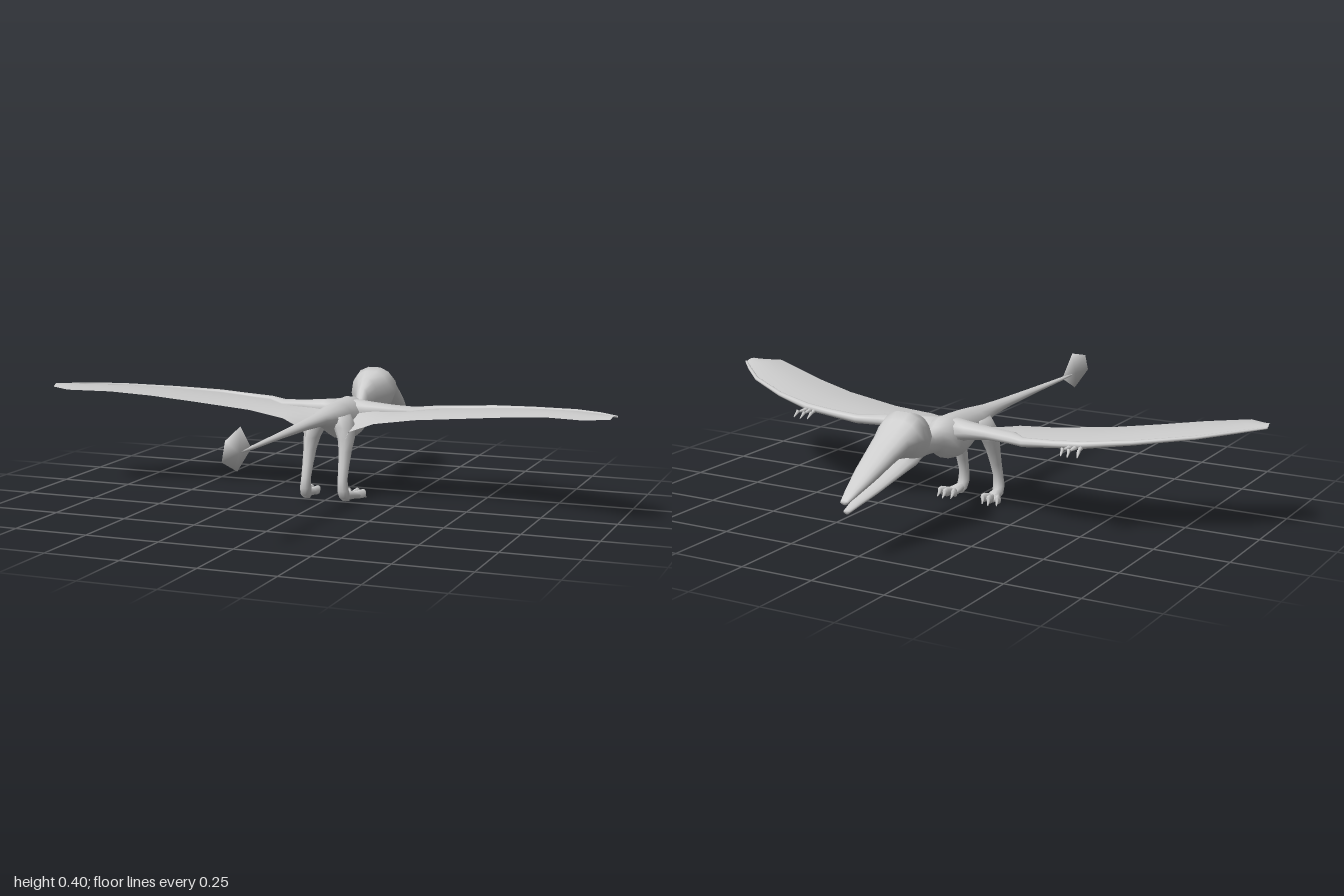
import * as THREE from 'three';

const skin = new THREE.MeshStandardMaterial({ color: 0xcccccc });
skin.name = 'grey skin';
const membraneSkin = new THREE.MeshStandardMaterial({ color: 0xcccccc, side: THREE.DoubleSide });
membraneSkin.name = 'grey membrane';

const V = (x, y, z) => new THREE.Vector3(x, y, z);

function geometryFrom(positions, index) {
  const g = new THREE.BufferGeometry();
  g.setAttribute('position', new THREE.Float32BufferAttribute(positions, 3));
  g.setIndex(index);
  g.computeVertexNormals();
  return g;
}

function addMesh(parent, name, geometry, material = skin) {
  const mesh = new THREE.Mesh(geometry, material);
  mesh.name = name;
  parent.add(mesh);
  return mesh;
}

// Oval rings [x, y, z, half width, half height] across a fixed axis, joined and capped.
// s mirrors in x; taper narrows the lower half; power below 1 squares the ring.
function loft(stations, axis, up, { s = 1, sides = 14, taper = 0, power = 1 } = {}) {
  const t = V(axis.x * s, axis.y, axis.z);
  const side = up.clone().cross(t).normalize();
  const pos = [], index = [];
  const bend = (v) => Math.sign(v) * Math.abs(v) ** power;
  for (const [x, y, z, rx, ry] of stations) {
    for (let j = 0; j < sides; j++) {
      const a = (j / sides) * Math.PI * 2;
      const w = bend(Math.cos(a)) * rx * (1 + taper * Math.min(0, Math.sin(a)));
      const p = V(x * s, y, z).addScaledVector(side, w).addScaledVector(up, bend(Math.sin(a)) * ry);
      pos.push(p.x, p.y, p.z);
    }
  }
  const n = stations.length;
  for (const k of [0, n - 1]) pos.push(stations[k][0] * s, stations[k][1], stations[k][2]);
  for (let j = 0; j < sides; j++) {
    const k = (j + 1) % sides, end = (n - 1) * sides;
    for (let i = 0; i < n - 1; i++) {
      const a = i * sides + j, b = i * sides + k;
      index.push(a, b, b + sides, a, b + sides, a + sides);
    }
    index.push(n * sides, k, j, n * sides + 1, end + j, end + k);
  }
  return geometryFrom(pos, index);
}

// Rings given by z, bottom, top and half width, for parts on the centre line
const spine = (rows) => rows.map(([z, low, high, w]) => [0, (low + high) / 2, z, w, (high - low) / 2]);

// Small tapering digit between two points
function digit(a, b, r, s) {
  const from = V(a[0] * s, a[1], a[2]), to = V(b[0] * s, b[1], b[2]);
  const g = new THREE.CylinderGeometry(r * 0.25, r, from.distanceTo(to), 6);
  g.applyQuaternion(new THREE.Quaternion().setFromUnitVectors(V(0, 1, 0), to.clone().sub(from).normalize()));
  const mid = from.add(to).multiplyScalar(0.5);
  return g.translate(mid.x, mid.y, mid.z);
}

// Membrane ribs: leading point, trailing point
const ribs = [
  [[0.03, 0.285, -0.2], [0.06, 0.19, -0.01]],
  [[0.1, 0.288, -0.22], [0.085, 0.24, 0]],
  [[0.2, 0.285, -0.225], [0.165, 0.268, -0.027]],
  [[0.31, 0.29, -0.285], [0.3, 0.285, -0.053]],
  [[0.51, 0.305, -0.278], [0.5, 0.306, -0.03]],
  [[0.66, 0.32, -0.226], [0.65, 0.325, 0.01]],
  [[0.83, 0.336, -0.13], [0.78, 0.34, 0.063]],
  [[0.93, 0.345, -0.035], [0.91, 0.348, 0.128]],
  [[0.998, 0.35, 0.037], [0.987, 0.35, 0.092]],
];

function membrane(s) {
  const rows = 6, pos = [], index = [];
  for (const [lead, trail] of ribs) {
    for (let j = 0; j <= rows; j++) {
      const u = j / rows, arch = 0.008 * Math.sin(Math.PI * u);
      const p = V(...lead).lerp(V(...trail), u);
      pos.push(p.x * s, p.y + arch, p.z);
    }
  }
  for (let i = 0; i < ribs.length - 1; i++) {
    for (let j = 0; j < rows; j++) {
      const a = i * (rows + 1) + j, b = a + rows + 1;
      // upper side faces up on both wings
      if (s > 0) index.push(a, a + 1, b + 1, a, b + 1, b);
      else index.push(a, b + 1, a + 1, a, b, b + 1);
    }
  }
  return geometryFrom(pos, index);
}

function wing(s) {
  const g = new THREE.Group();
  g.name = s > 0 ? 'leftWing' : 'rightWing';
  addMesh(g, 'wingMembrane', membrane(s), membraneSkin);
  // upper arm, forearm and the long wing finger
  const arm = [
    [0.02, 0.275, -0.215, 0.05, 0.045], [0.08, 0.283, -0.218, 0.042, 0.03],
    [0.16, 0.285, -0.222, 0.037, 0.02], [0.24, 0.283, -0.228, 0.038, 0.018],
    [0.31, 0.288, -0.277, 0.018, 0.015], [0.42, 0.297, -0.279, 0.014, 0.012],
    [0.51, 0.304, -0.273, 0.014, 0.012], [0.66, 0.319, -0.222, 0.011, 0.008],
    [0.83, 0.336, -0.127, 0.01, 0.006], [0.93, 0.346, -0.035, 0.009, 0.005],
    [0.997, 0.351, 0.034, 0.006, 0.003],
  ];
  addMesh(g, 'arm', loft(arm, V(1, 0, 0), V(0, 1, 0), { s, sides: 10 }));
  // three clawed fingers on the leading edge
  for (const [x, tip, z] of [[0.48, 0.467, -0.32], [0.495, 0.492, -0.325], [0.51, 0.522, -0.318]]) {
    addMesh(g, 'finger', digit([x, 0.297, -0.275], [tip, 0.293, z], 0.009, s));
    addMesh(g, 'fingerClaw', digit([tip, 0.297, z + 0.004], [tip + 0.004, 0.279, z - 0.016], 0.007, s));
  }
  return g;
}

function leg(s) {
  const g = new THREE.Group();
  g.name = s > 0 ? 'leftLeg' : 'rightLeg';
  const limb = [
    [0.035, 0.285, -0.06, 0.03, 0.05], [0.05, 0.25, -0.055, 0.035, 0.05],
    [0.062, 0.21, -0.04, 0.028, 0.038], [0.064, 0.17, -0.025, 0.022, 0.028],
    [0.065, 0.12, -0.008, 0.019, 0.021], [0.066, 0.075, 0.006, 0.017, 0.018],
    [0.068, 0.04, 0.006, 0.02, 0.02], [0.07, 0.015, -0.005, 0.019, 0.02],
    [0.071, 0.002, -0.015, 0.012, 0.012],
  ];
  addMesh(g, 'shin', loft(limb, V(0, -1, 0), V(0, 0, 1), { s, sides: 10 }));
  const foot = [[0.07, 0.022, 0.008, 0.014, 0.017], [0.073, 0.018, -0.03, 0.02, 0.016],
    [0.08, 0.014, -0.06, 0.028, 0.013], [0.082, 0.012, -0.072, 0.02, 0.008]];
  addMesh(g, 'foot', loft(foot, V(0, 0, -1), V(0, 1, 0), { s, sides: 10 }));
  for (const [x, z] of [[0.057, -0.08], [0.084, -0.09], [0.11, -0.078]]) {
    const toe = [[0.078, 0.014, -0.045, 0.01, 0.012], [x, 0.018, z + 0.005, 0.011, 0.016],
      [x, 0.021, z - 0.006, 0.008, 0.011]];
    addMesh(g, 'toe', loft(toe, V(0, 0, -1), V(0, 1, 0), { s, sides: 8 }));
    addMesh(g, 'toeClaw', digit([x, 0.02, z - 0.002], [x + 0.004, 0.001, z - 0.016], 0.008, s));
  }
  return g;
}

export function createModel() {
  const model = new THREE.Group();
  model.name = 'flyingReptile';
  const forward = V(0, 0, -1), up = V(0, 1, 0);

  // tail, hips, chest and neck in one smooth skin
  addMesh(model, 'body', loft(spine([
    [0.7, 0.281, 0.287, 0.004], [0.6, 0.277, 0.289, 0.009], [0.4, 0.275, 0.294, 0.016],
    [0.2, 0.27, 0.3, 0.024], [0.06, 0.262, 0.306, 0.032], [0, 0.25, 0.311, 0.042],
    [-0.06, 0.225, 0.317, 0.055], [-0.12, 0.195, 0.322, 0.056], [-0.19, 0.178, 0.325, 0.066],
    [-0.24, 0.185, 0.325, 0.068], [-0.27, 0.2, 0.318, 0.05], [-0.295, 0.218, 0.303, 0.034],
    [-0.33, 0.223, 0.288, 0.026], [-0.38, 0.225, 0.31, 0.026],
  ]), forward, up));

  // skull and upper beak
  addMesh(model, 'head', loft(spine([
    [-0.335, 0.228, 0.29, 0.016], [-0.36, 0.224, 0.335, 0.024], [-0.4, 0.222, 0.366, 0.042],
    [-0.45, 0.221, 0.386, 0.073], [-0.49, 0.225, 0.397, 0.08], [-0.52, 0.25, 0.376, 0.077],
    [-0.56, 0.262, 0.349, 0.064], [-0.62, 0.245, 0.316, 0.054], [-0.7, 0.218, 0.271, 0.042],
    [-0.78, 0.194, 0.222, 0.025], [-0.822, 0.181, 0.195, 0.014],
  ]), forward, up, { taper: 0.25, power: 0.85 }));

  // lower beak, slightly open
  addMesh(model, 'lowerJaw', loft(spine([
    [-0.42, 0.224, 0.28, 0.035], [-0.49, 0.212, 0.272, 0.058], [-0.54, 0.205, 0.258, 0.055],
    [-0.6, 0.193, 0.232, 0.045], [-0.68, 0.175, 0.203, 0.033], [-0.76, 0.159, 0.179, 0.02],
    [-0.81, 0.149, 0.163, 0.012],
  ]), forward, up, { taper: 0.25 }));

  // upright leaf-shaped tail fin: z, y outline, thin and swollen at the middle
  const rim = [[0.61, 0.283], [0.69, 0.362], [0.8, 0.336], [0.825, 0.276], [0.715, 0.229]];
  const pos = [0.005, 0.284, 0.71, -0.005, 0.284, 0.71], index = [];
  rim.forEach(([z, y], i) => {
    pos.push(0, y, z);
    const a = 2 + i, b = 2 + ((i + 1) % rim.length);
    index.push(0, b, a, 1, a, b);
  });
  addMesh(model, 'tailFin', geometryFrom(pos, index), membraneSkin);

  for (const s of [1, -1]) model.add(wing(s), leg(s));
  return model;
}
